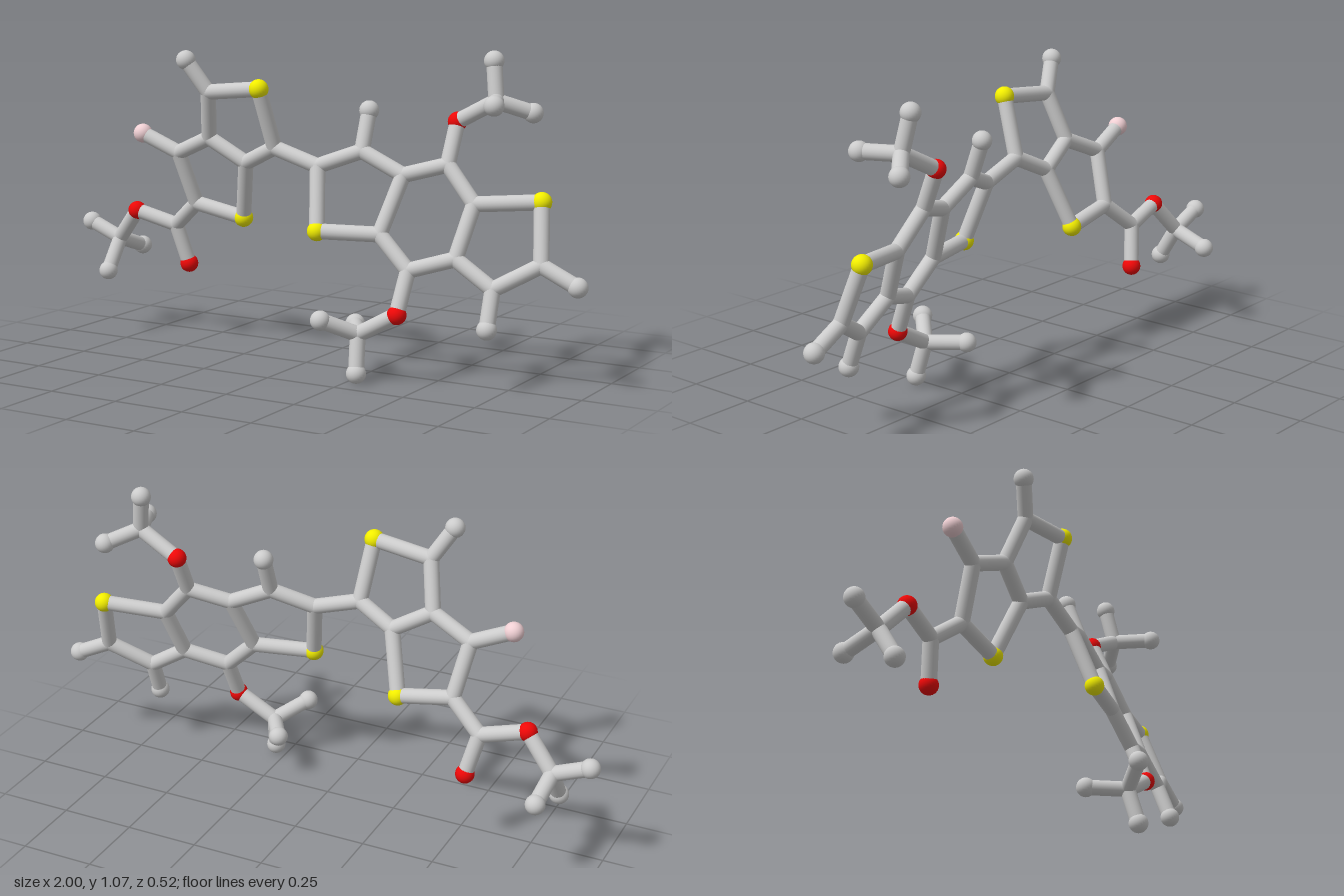
import * as THREE from 'three';

const STICK = 0.026;
const grey = new THREE.MeshStandardMaterial({ color: 0xcccccc });
const yellow = new THREE.MeshStandardMaterial({ color: 0xf2ee00 });
const red = new THREE.MeshStandardMaterial({ color: 0xee0808 });
const pink = new THREE.MeshStandardMaterial({ color: 0xf0d0d4 });

// kind of atom: ball radius, material, part name
const kinds = {
  C: [STICK, grey, 'carbonJoint'],
  H: [0.033, grey, 'hydrogenBall'],
  S: [0.033, yellow, 'sulfurBall'],
  O: [0.032, red, 'oxygenBall'],
  F: [0.033, pink, 'fluorineBall'],
};

// the two flat ring systems lie in tilted planes
const planeA = (x, y) => -0.195 + 0.048 * x + 0.337 * y;
const planeB = (x, y) => 0.311 - 0.223 * x - 0.37 * y;

function ball(kind, p) {
  const [r, material, name] = kinds[kind];
  const mesh = new THREE.Mesh(new THREE.SphereGeometry(r, 24, 16), material);
  mesh.position.copy(p);
  mesh.name = name;
  return mesh;
}

function stick(a, b) {
  const dir = b.clone().sub(a);
  const mesh = new THREE.Mesh(new THREE.CylinderGeometry(STICK, STICK, dir.length(), 20, 1, true), grey);
  mesh.position.copy(a).addScaledVector(dir, 0.5);
  mesh.quaternion.setFromUnitVectors(new THREE.Vector3(0, 1, 0), dir.normalize());
  mesh.name = 'bond';
  return mesh;
}

// atoms: name -> [x, y, z]; z is taken from the plane when left out.
// The first letter of each name is the kind of atom.
function fragment(name, atoms, chains, plane) {
  const group = new THREE.Group();
  group.name = name;
  const at = {};
  for (const [id, [x, y, z]] of Object.entries(atoms)) {
    at[id] = new THREE.Vector3(x, y, z ?? plane(x, y));
    group.add(ball(id[0], at[id]));
  }
  for (const chain of chains) {
    const ids = chain.split(' ');
    for (let i = 1; i < ids.length; i++) group.add(stick(at[ids[i - 1]], at[ids[i]]));
  }
  group.userData.at = at;
  return group;
}

export function createModel() {
  const model = new THREE.Group();
  model.name = 'stickMolecule';

  // two fused five-sided rings
  const rightRings = fragment('rightFusedRings', {
    S1: [-0.115, 0.936], C1: [-0.325, 0.915], C2: [-0.36, 0.752], C3: [-0.225, 0.674], C4: [-0.095, 0.736],
    S2: [-0.28, 0.472], C5: [-0.505, 0.69], C6: [-0.473, 0.508],
    H1: [-0.392, 1.022], F1: [-0.645, 0.75],
  }, ['S1 C1 C2 C3 C4 S1', 'C3 S2 C6 C5 C2', 'C1 H1', 'C5 F1'], planeA);

  // five-six-five row of fused rings
  const leftRings = fragment('leftFusedRings', {
    S1: [0.105, 0.48], C1: [0.068, 0.685], C2: [0.207, 0.738], C3: [0.356, 0.668], C4: [0.313, 0.48],
    C5: [0.495, 0.706], C6: [0.6, 0.588], C7: [0.57, 0.417], C8: [0.425, 0.374],
    S2: [0.812, 0.604], C9: [0.842, 0.412], C10: [0.703, 0.332],
    H1: [0.207, 0.868], H2: [0.965, 0.353], H3: [0.705, 0.21],
  }, ['S1 C1 C2 C3 C4 S1', 'C3 C5 C6 C7 C8 C4', 'C6 S2 C9 C10 C7', 'C2 H1', 'C9 H2', 'C10 H3'], planeB);

  // ester arm at the lower right
  const ester = fragment('esterArm', {
    C1: [-0.585, 0.417, -0.085], O1: [-0.55, 0.277, -0.112], O2: [-0.742, 0.458, -0.068],
    C2: [-0.842, 0.345, -0.1],
    H1: [-0.967, 0.396, -0.1], H2: [-0.847, 0.235, -0.032], H3: [-0.835, 0.3, -0.23],
  }, ['C1 O1', 'C1 O2 C2 H1', 'C2 H2', 'C2 H3']);

  // methoxy arms above and below the six-sided ring
  const methoxyBonds = ['O1 C1 H1', 'C1 H2', 'C1 H3'];
  const upper = fragment('upperMethoxyArm', {
    O1: [0.5, 0.842, -0.118], C1: [0.643, 0.916, -0.105],
    H1: [0.623, 1.043, -0.127], H2: [0.738, 0.876, -0.183], H3: [0.694, 0.914, 0.022],
  }, methoxyBonds);
  const lower = fragment('lowerMethoxyArm', {
    O1: [0.414, 0.237, 0.133], C1: [0.275, 0.16, 0.138],
    H1: [0.287, 0.037, 0.17], H2: [0.186, 0.212, 0.228], H3: [0.2, 0.165, 0.02],
  }, methoxyBonds);

  // sticks joining the fragments
  const links = new THREE.Group();
  links.name = 'linkingBonds';
  const join = (g1, a, g2, b) => links.add(stick(g1.userData.at[a], g2.userData.at[b]));
  join(rightRings, 'C4', leftRings, 'C1');
  join(rightRings, 'C6', ester, 'C1');
  join(leftRings, 'C5', upper, 'O1');
  join(leftRings, 'C8', lower, 'O1');

  model.add(rightRings, leftRings, ester, upper, lower, links);
  for (const g of model.children) g.userData = {};
  return model;
}
